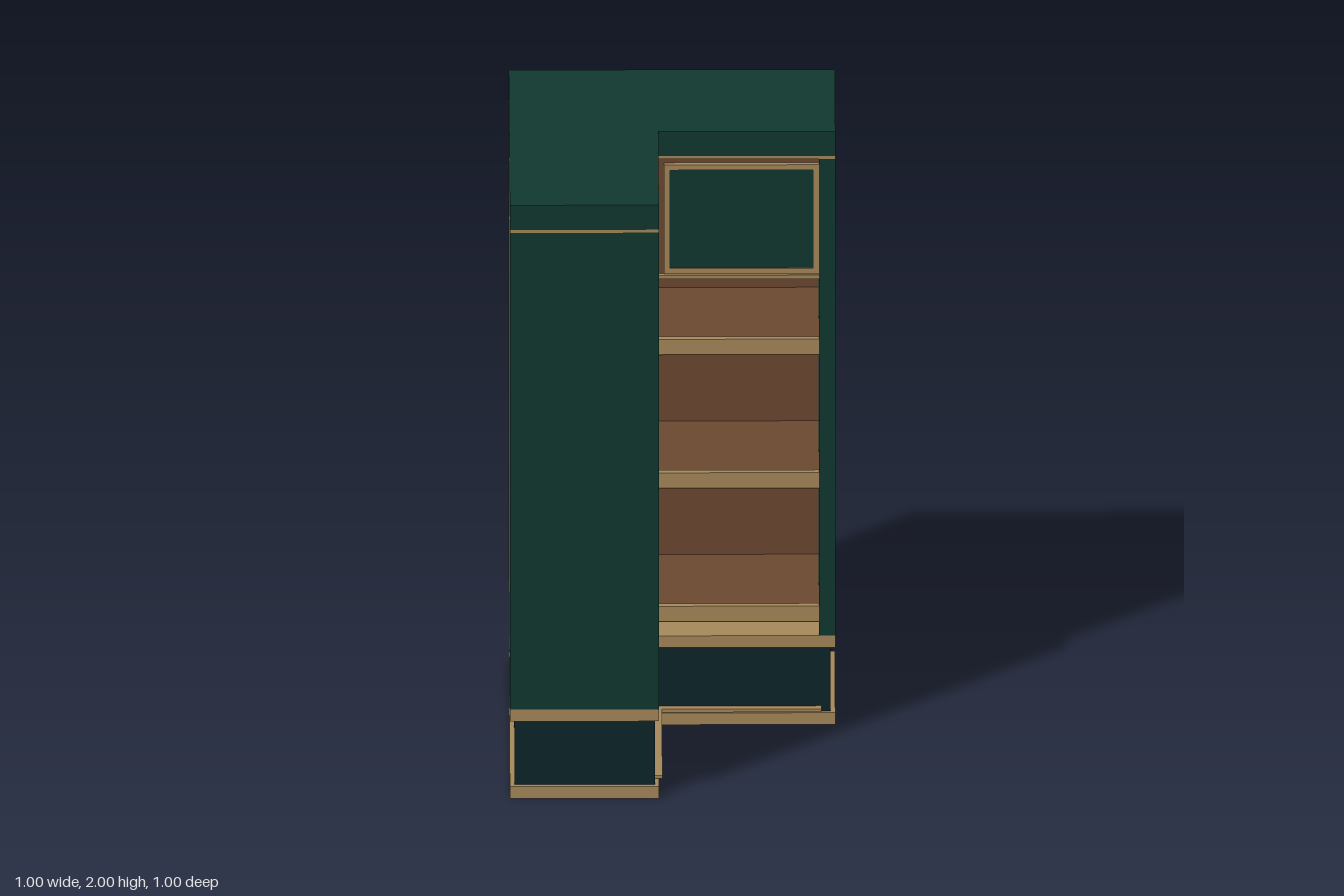
import * as THREE from 'three';

const mat = (name, color) => {
  const m = new THREE.MeshStandardMaterial({ color });
  m.name = name;
  return m;
};

export function createModel() {
  const green = mat('dark green', 0x10382f);
  const brown = mat('walnut brown', 0x6b4830);
  const tan = mat('oak tan', 0xa6885a);
  const navy = mat('plinth navy', 0x0d2429);
  const cabinet = new THREE.Group();
  cabinet.name = 'cornerCabinet';

  const add = (parent, name, geometry, material) => {
    const mesh = new THREE.Mesh(geometry, material);
    mesh.name = name;
    parent.add(mesh);
    return mesh;
  };

  // L-shaped slab: outer = back edges, end = wing ends, inner = notch edges
  const lSlab = (name, y0, y1, material, outer = -0.5, end = 0.5, inner = -0.043) => {
    const shape = new THREE.Shape([
      [outer, outer], [end, outer], [end, inner],
      [inner, inner], [inner, end], [outer, end],
    ].map(([x, z]) => new THREE.Vector2(x, z)));
    const g = new THREE.ExtrudeGeometry(shape, { depth: y1 - y0, bevelEnabled: false });
    g.rotateX(Math.PI / 2);
    g.translate(0, y1, 0);
    return add(cabinet, name, g, material);
  };

  // Box in a wing: a runs along the wing, d is depth; the side wing swaps x and z
  const wingBox = (parent, name, side, [a0, a1], [y0, y1], [d0, d1], material) => {
    const a = a1 - a0, d = d1 - d0;
    const g = new THREE.BoxGeometry(side ? d : a, y1 - y0, side ? a : d);
    const am = (a0 + a1) / 2, dm = (d0 + d1) / 2;
    g.translate(side ? dm : am, (y0 + y1) / 2, side ? am : dm);
    return add(parent, name, g, material);
  };

  // Base and top
  lSlab('baseBoard', 0, 0.04, tan);
  lSlab('plinth', 0.04, 0.26, navy, -0.485, 0.485, -0.055);
  lSlab('floorBoard', 0.26, 0.30, tan);
  lSlab('topTrim', 1.907, 1.917, tan);
  lSlab('topCap', 1.917, 2, green);

  // Upper cupboard body with a thin ledge under the doors
  lSlab('cupboardLedge', 1.503, 1.515, tan, -0.48, 0.45);
  lSlab('cupboardBody', 1.515, 1.907, brown, -0.48, 0.45, -0.058);

  // Open shelves, each with a raised lip that stops short of the corner on one wing
  for (const y of [0.345, 0.795, 1.245]) {
    lSlab('shelf', y, y + 0.03, brown, -0.48, 0.45, -0.045);
    wingBox(cabinet, 'backShelfLip', false, [-0.043, 0.45], [y + 0.005, y + 0.055], [-0.063, -0.042], tan);
    wingBox(cabinet, 'sideShelfLip', true, [0.06, 0.45], [y + 0.005, y + 0.055], [-0.063, -0.042], tan);
  }

  // Back walls
  wingBox(cabinet, 'backWall', false, [-0.5, 0.475], [0.30, 1.907], [-0.5, -0.48], brown);
  wingBox(cabinet, 'sideWall', true, [-0.48, 0.499], [0.30, 1.907], [-0.5, -0.48], brown);

  // Parts shared by both wings
  for (const side of [false, true]) {
    const wing = new THREE.Group();
    wing.name = side ? 'sideWing' : 'backWing';
    cabinet.add(wing);
    wingBox(wing, 'endPanel', side, [0.45, 0.5], [0.30, 1.907], [-0.499, -0.043], green);
    wingBox(wing, 'plinthStrip', side, [-0.043, 0.457], [0.047, 0.058], [-0.056, -0.032], tan);

    // Framed cupboard door
    wingBox(wing, 'doorPanel', side, [-0.01, 0.435], [1.535, 1.875], [-0.06, -0.048], green);
    for (const y of [1.52, 1.87])
      wingBox(wing, 'doorRail', side, [-0.025, 0.45], [y, y + 0.018], [-0.06, -0.042], tan);
    for (const a of [-0.025, 0.432])
      wingBox(wing, 'doorStile', side, [a, a + 0.018], [1.538, 1.87], [-0.06, -0.042], tan);
  }
  return cabinet;
}
